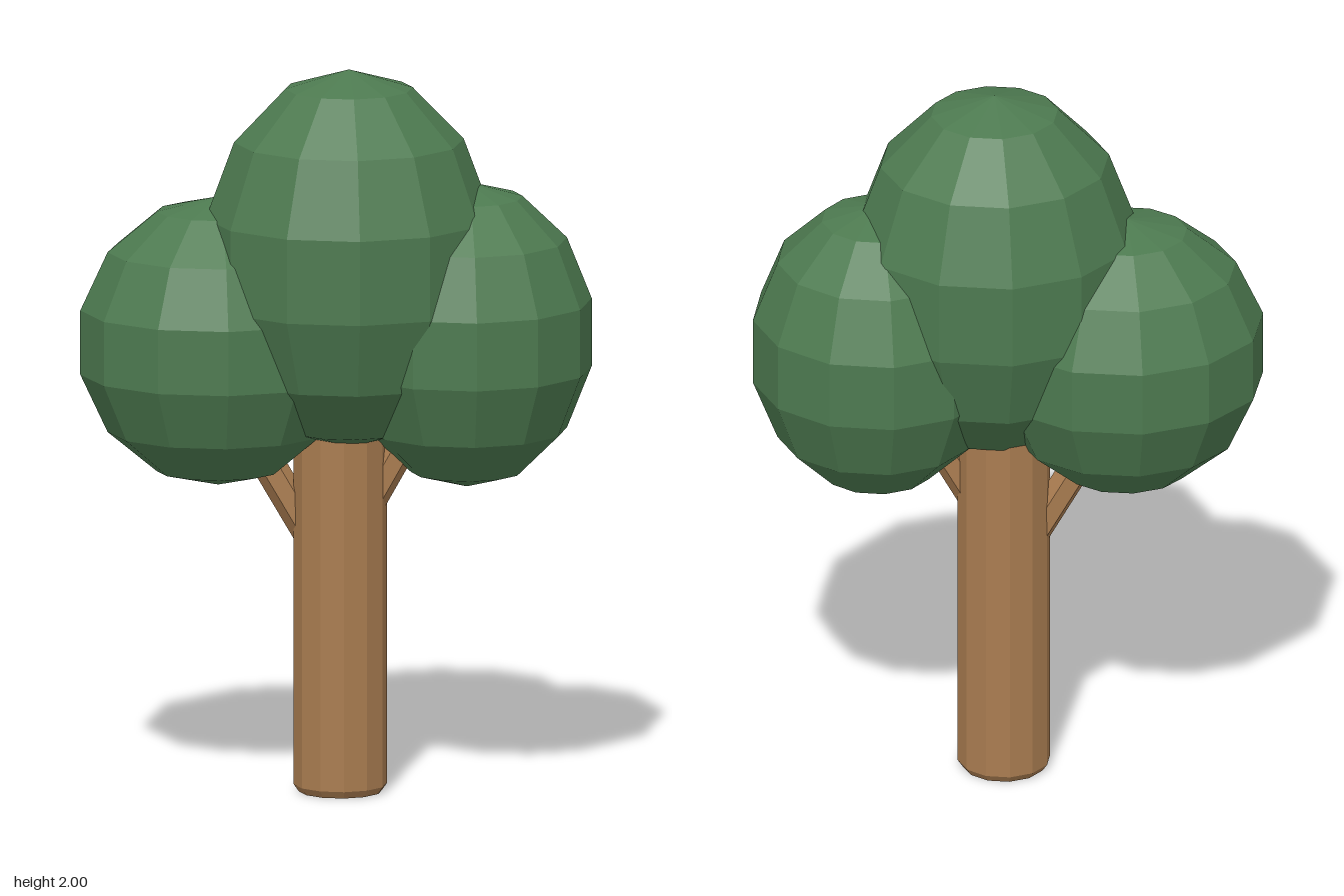
import * as THREE from 'three';

export function createModel() {
  const tree = new THREE.Group();
  tree.name = 'tree';
  const bark = new THREE.MeshStandardMaterial({ color: 0xa97c50, flatShading: true });
  const leaves = new THREE.MeshStandardMaterial({ color: 0x4d7a50, flatShading: true });

  const add = (name, geometry, material) => {
    const mesh = new THREE.Mesh(geometry, material);
    mesh.name = name;
    tree.add(mesh);
    return mesh;
  };

  // Trunk: twelve-sided column with a small bevel at the foot
  const profile = [[0, 0], [0.113, 0], [0.127, 0.02], [0.127, 1.1], [0, 1.1]]
    .map(([r, y]) => new THREE.Vector2(r, y));
  add('trunk', new THREE.LatheGeometry(profile, 12), bark).position.set(0.01, 0, -0.02);

  // Branches: six-sided struts reaching from the trunk into the side crowns
  const branch = (name, from, to) => {
    const a = new THREE.Vector3(...from);
    const b = new THREE.Vector3(...to);
    const dir = b.clone().sub(a);
    const geometry = new THREE.CylinderGeometry(0.045, 0.045, dir.length(), 6);
    geometry.rotateY(Math.PI / 6); // one edge faces straight down
    const mesh = add(name, geometry, bark);
    mesh.position.copy(a).add(b).multiplyScalar(0.5);
    mesh.quaternion.setFromUnitVectors(new THREE.Vector3(0, 1, 0), dir.normalize());
  };
  branch('rightBranch', [-0.02, 0.62, -0.04], [-0.3, 1.1, -0.06]);
  branch('leftBranch', [0.03, 0.7, -0.005], [0.3, 1.18, 0.01]);

  // Crowns: faceted ellipsoids
  const crown = (name, centre, radii) => {
    const geometry = new THREE.SphereGeometry(1, 12, 7).scale(...radii);
    add(name, geometry, leaves).position.set(...centre);
  };
  crown('mainCrown', [0.03, 1.478, 0.02], [0.4, 0.522, 0.38]);
  crown('rightCrown', [-0.32, 1.243, -0.052], [0.385, 0.398, 0.351]);
  crown('leftCrown', [0.35, 1.266, 0.028], [0.349, 0.421, 0.351]);

  return tree;
}
